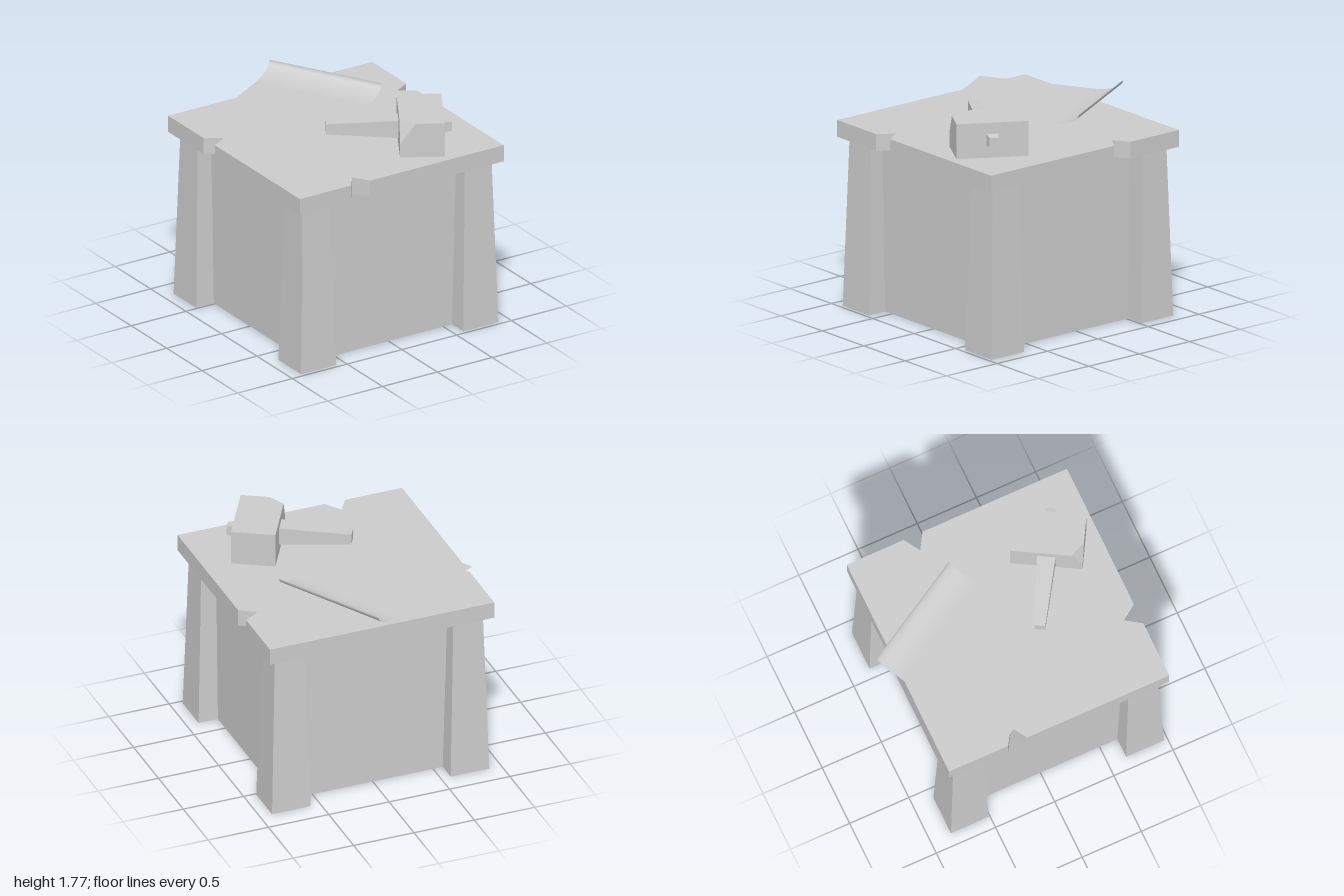
import * as THREE from 'three';
import { ConvexGeometry } from 'three/addons/geometries/ConvexGeometry.js';

const grey = new THREE.MeshStandardMaterial({ color: 0xcccccc, flatShading: true });
const sheetGrey = new THREE.MeshStandardMaterial({ color: 0xcccccc, side: THREE.DoubleSide });

function part(name, geometry, material = grey) {
  const mesh = new THREE.Mesh(geometry, material);
  mesh.name = name;
  return mesh;
}

// Square bar standing on y = 0 that tapers from width w0 to width w1
function taperedBar(w0, w1, length) {
  const geo = new THREE.BoxGeometry(1, length, 1).translate(0, length / 2, 0);
  const p = geo.attributes.position;
  for (let i = 0; i < p.count; i++) {
    const w = p.getY(i) > length / 2 ? w1 : w0;
    p.setXYZ(i, p.getX(i) * w, p.getY(i), p.getZ(i) * w);
  }
  geo.computeVertexNormals();
  return geo;
}

// Slab with V-shaped nicks in three of its edges (shape y is -z)
function makeTop() {
  const outline = [
    [-0.93, 1], [-0.46, 1], [-0.375, 0.875], [-0.29, 1], [0.93, 1],
    [0.93, -0.22], [0.8, -0.3], [0.93, -0.38], [0.93, -0.86],
    [-0.93, -0.86], [-0.93, -0.36], [-0.8, -0.28], [-0.93, -0.2],
  ];
  const shape = new THREE.Shape(outline.map(([x, z]) => new THREE.Vector2(x, -z)));
  const geo = new THREE.ExtrudeGeometry(shape, { depth: 0.135, bevelEnabled: false });
  return part('tableTop', geo.rotateX(-Math.PI / 2).translate(0, 1.355, 0));
}

// Mallet lying on the table: local x runs along the handle
function makeMallet() {
  const mallet = new THREE.Group();
  mallet.name = 'mallet';
  const u = 0.172, v = 0.28, h = 0.28;
  // block head with one chipped corner
  const corners = [
    [-u, 0, -v], [u, 0, -v], [u, 0, v], [-u, 0, v],
    [-u, h, -v], [u, h, -v], [u, h, v],
    [-u, h, 0.194], [-0.051, h, v], [-u, 0.11, v],
  ];
  mallet.add(part('malletHead', new ConvexGeometry(corners.map((c) => new THREE.Vector3(...c)))));

  const handle = part('malletHandle', taperedBar(0.145, 0.085, 0.565));
  handle.rotation.z = Math.PI / 2;
  handle.position.set(-0.162, 0.143, 0);

  const stub = part('handleEnd', taperedBar(0.1, 0.07, 0.085));
  stub.rotation.z = -Math.PI / 2;
  stub.position.set(0.155, 0.143, 0);
  mallet.add(handle, stub);

  mallet.position.set(0.425, 1.49, 0.607);
  mallet.rotation.y = -Math.PI / 6;
  return mallet;
}

// Thin sheet, flat with one edge curling up in a quarter ellipse
function makeSheet() {
  const half = 0.586, curl = 0.24, rise = 0.095, steps = 20;
  const geo = new THREE.PlaneGeometry(2 * half, 0.966, steps + 1, 1).rotateX(-Math.PI / 2);
  const p = geo.attributes.position;
  for (let i = 0; i < p.count; i++) {
    const column = i % (steps + 2);
    if (column === 0) continue;
    const a = ((column - 1) / steps) * Math.PI / 2;
    p.setX(i, half - curl + curl * Math.sin(a));
    p.setY(i, rise * (1 - Math.cos(a)));
  }
  geo.computeVertexNormals();
  const sheet = part('curledSheet', geo, sheetGrey);
  sheet.position.set(-0.18, 1.565, -0.29);
  sheet.rotation.y = Math.PI / 6;
  return sheet;
}

export function createModel() {
  const model = new THREE.Group();
  model.name = 'workbench';
  const zMid = 0.07;

  // solid body between the legs
  const body = part('body', new THREE.BoxGeometry(1.48, 1.355, 1.48));
  body.position.set(0, 0.6775, zMid);
  model.add(body);

  // four tapering corner legs
  const legGeo = taperedBar(0.32, 0.245, 1.355);
  for (const sx of [-1, 1]) {
    for (const sz of [-1, 1]) {
      const leg = part((sz > 0 ? 'front' : 'back') + (sx > 0 ? 'Left' : 'Right') + 'Leg', legGeo);
      leg.position.set(sx * 0.74, 0, zMid + sz * 0.74);
      model.add(leg);
    }
  }

  model.add(makeTop(), makeMallet(), makeSheet());
  return model;
}
